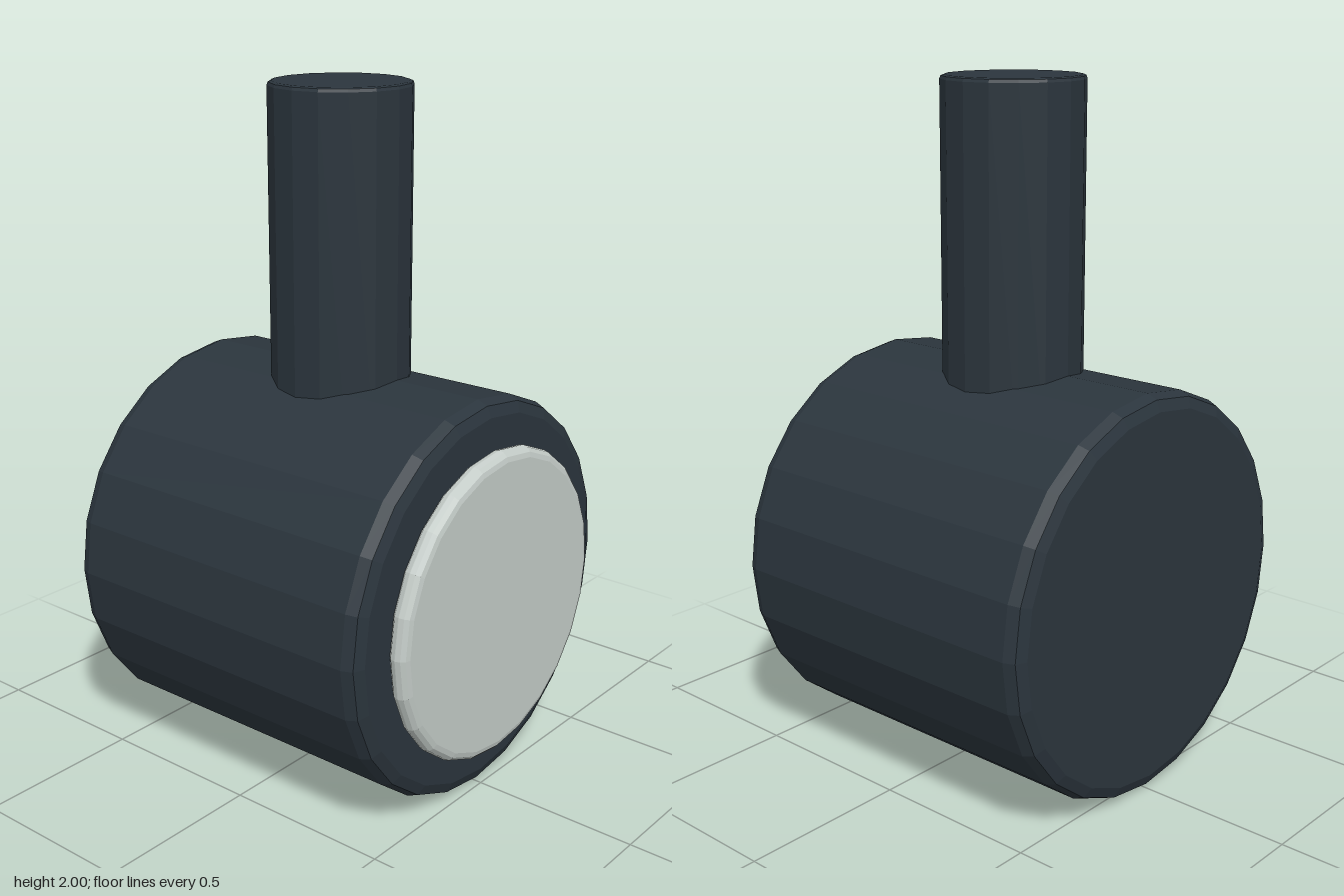
import * as THREE from 'three';

// Solid disc or rod along y from y0 to y1, with rounded rims
function roundedCylinder(radius, y0, y1, bevel, steps, sides) {
  const points = [new THREE.Vector2(0, y0)];
  for (const end of [0, 1]) {
    const cy = end ? y1 - bevel : y0 + bevel;
    for (let i = 0; i <= steps; i++) {
      const a = (i / steps + end - 1) * Math.PI / 2;
      points.push(new THREE.Vector2(radius - bevel + bevel * Math.cos(a), cy + bevel * Math.sin(a)));
    }
  }
  points.push(new THREE.Vector2(0, y1));
  return new THREE.LatheGeometry(points, sides);
}

export function createModel() {
  const model = new THREE.Group();
  const dark = new THREE.MeshStandardMaterial({ color: 0x2b353d, flatShading: true });
  const pale = new THREE.MeshStandardMaterial({ color: 0xc4ccc8, flatShading: true });
  const centreY = 0.592;

  const add = (name, geometry, material) => {
    const mesh = new THREE.Mesh(geometry, material);
    mesh.name = name;
    model.add(mesh);
    return mesh;
  };

  // Drum-shaped body lying along z
  const body = add('body', roundedCylinder(0.587, -0.557, 0.497, 0.045, 2, 24), dark);
  body.rotation.x = Math.PI / 2;
  body.position.y = centreY;

  // Pale round disc on the front
  const disc = add('frontDisc', roundedCylinder(0.457, 0.497, 0.557, 0.029, 3, 24), pale);
  disc.rotation.x = Math.PI / 2;
  disc.position.y = centreY;

  // Upright stem sunk into the top of the body
  const stem = add('stem', roundedCylinder(0.204, 0.95, 2, 0.012, 2, 16), dark);
  stem.position.z = -0.031;

  return model;
}
